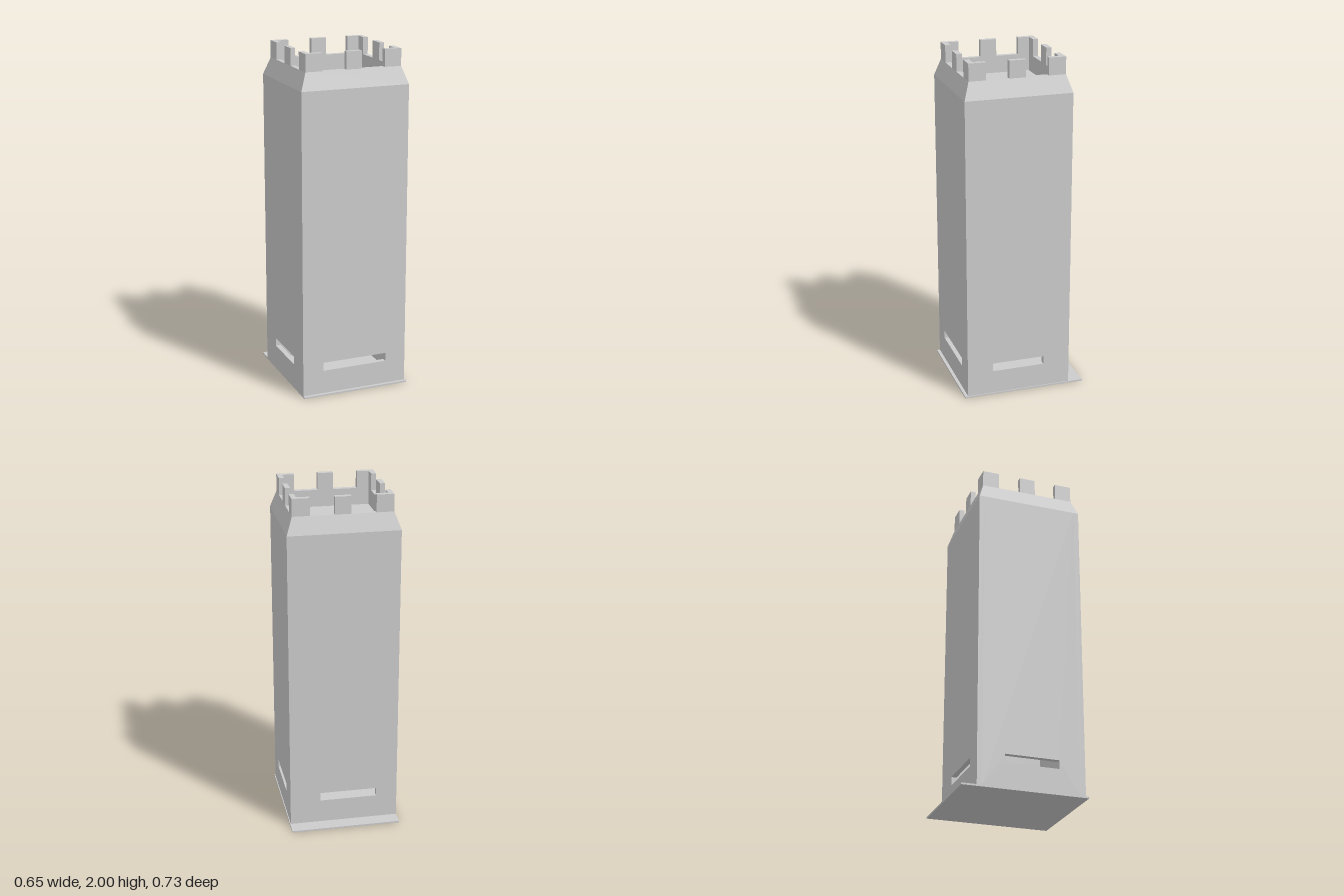
import * as THREE from 'three';

const material = new THREE.MeshStandardMaterial({ color: 0xcccccc, flatShading: true });

// Plan rectangles [x0, x1, z0, z1]
const BODY = [-0.325, 0.32, -0.28, 0.348];
const RIM = [-0.288, 0.285, -0.247, 0.315];
const INNER = [-0.259, 0.255, -0.215, 0.283];
const WALL = 0.03, BASE = 0.01, SHOULDER = 1.8, PARAPET = 1.9, TOP = 2;

function add(group, name, geometry) {
  const mesh = new THREE.Mesh(geometry, material);
  mesh.name = name;
  group.add(mesh);
  return mesh;
}

function block(group, name, x0, x1, y0, y1, z0, z1) {
  const geo = new THREE.BoxGeometry(x1 - x0, y1 - y0, z1 - z0);
  geo.translate((x0 + x1) / 2, (y0 + y1) / 2, (z0 + z1) / 2);
  return add(group, name, geo);
}

// Upright wall panel from a to b with a slot from s0 to s1, thickness along +z
function slottedPanel(a, b, s0, s1) {
  const outline = (l, r, d, u) => [[l, d], [r, d], [r, u], [l, u]].map(p => new THREE.Vector2(...p));
  const shape = new THREE.Shape(outline(a, b, BASE, SHOULDER));
  shape.holes.push(new THREE.Path(outline(s0, s1, 0.15, 0.2)));
  return new THREE.ExtrudeGeometry(shape, { depth: WALL, bevelEnabled: false });
}

// Skin a sequence of level rectangles [rect, y]
function rectangleLoft(levels) {
  const rings = levels.map(([[x0, x1, z0, z1], y]) =>
    [[x0, y, z0], [x1, y, z0], [x1, y, z1], [x0, y, z1]]);
  const pos = [];
  for (let i = 0; i < rings.length - 1; i++) {
    for (let j = 0; j < 4; j++) {
      const k = (j + 1) % 4;
      const a = rings[i][j], b = rings[i][k], c = rings[i + 1][k], d = rings[i + 1][j];
      pos.push(...a, ...d, ...c, ...a, ...c, ...b);
    }
  }
  const geo = new THREE.BufferGeometry();
  geo.setAttribute('position', new THREE.Float32BufferAttribute(pos, 3));
  geo.computeVertexNormals();
  return geo;
}

// L-shaped corner merlon; sx and sz point from the corner towards the middle
function cornerMerlon(x, z, xi, zi, sx, sz) {
  const w = 0.1;
  const pts = [[x, z], [x + sx * w, z], [x + sx * w, zi], [xi, zi], [xi, z + sz * w], [x, z + sz * w]];
  const shape = new THREE.Shape(pts.map(p => new THREE.Vector2(...p)));
  return new THREE.ExtrudeGeometry(shape, { depth: TOP - PARAPET, bevelEnabled: false })
    .rotateX(Math.PI / 2).translate(0, TOP, 0);
}

export function createModel() {
  const tower = new THREE.Group();
  tower.name = 'tower';
  const [x0, x1, z0, z1] = BODY;

  // Base plate, projecting further at the back
  block(tower, 'basePlate', -0.325, 0.325, 0, BASE, -0.367, 0.367);

  // Hollow body: four slotted walls
  add(tower, 'frontWall', slottedPanel(x0, x1, -0.2, 0.195).translate(0, 0, z1 - WALL));
  add(tower, 'backWall', slottedPanel(x0, x1, -0.2, 0.14).translate(0, 0, z0));
  for (const [name, x] of [['rightSideWall', x1 - WALL], ['leftSideWall', x0]]) {
    // Turned so that the panel's horizontal axis runs along -z
    const geo = slottedPanel(-(z1 - WALL), -(z0 + WALL), -0.195, 0.12);
    add(tower, name, geo.rotateY(Math.PI / 2).translate(x, 0, 0));
  }

  // Roof floor inside the parapet
  block(tower, 'roofFloor', x0 + WALL, x1 - WALL, SHOULDER - 0.03, SHOULDER, z0 + WALL, z1 - WALL);

  // Sloping shoulder and parapet lip
  add(tower, 'parapet', rectangleLoft([[BODY, SHOULDER], [RIM, PARAPET], [INNER, PARAPET], [INNER, SHOULDER]]));

  // Battlements: four corners and one merlon in the middle of each side
  const battlements = new THREE.Group();
  battlements.name = 'battlements';
  tower.add(battlements);
  const [rx0, rx1, rz0, rz1] = RIM, [ix0, ix1, iz0, iz1] = INNER;
  for (const [x, xi, sx] of [[rx0, ix0, 1], [rx1, ix1, -1]]) {
    for (const [z, zi, sz] of [[rz0, iz0, 1], [rz1, iz1, -1]]) {
      add(battlements, 'cornerMerlon', cornerMerlon(x, z, xi, zi, sx, sz));
    }
  }
  for (const [a, b] of [[rz0, iz0], [iz1, rz1]]) {
    block(battlements, 'middleMerlon', -0.046, 0.046, PARAPET, TOP, a, b);
  }
  for (const [a, b] of [[rx0, ix0], [ix1, rx1]]) {
    block(battlements, 'sideMerlon', a, b, PARAPET, TOP, -0.013, 0.083);
  }
  return tower;
}
